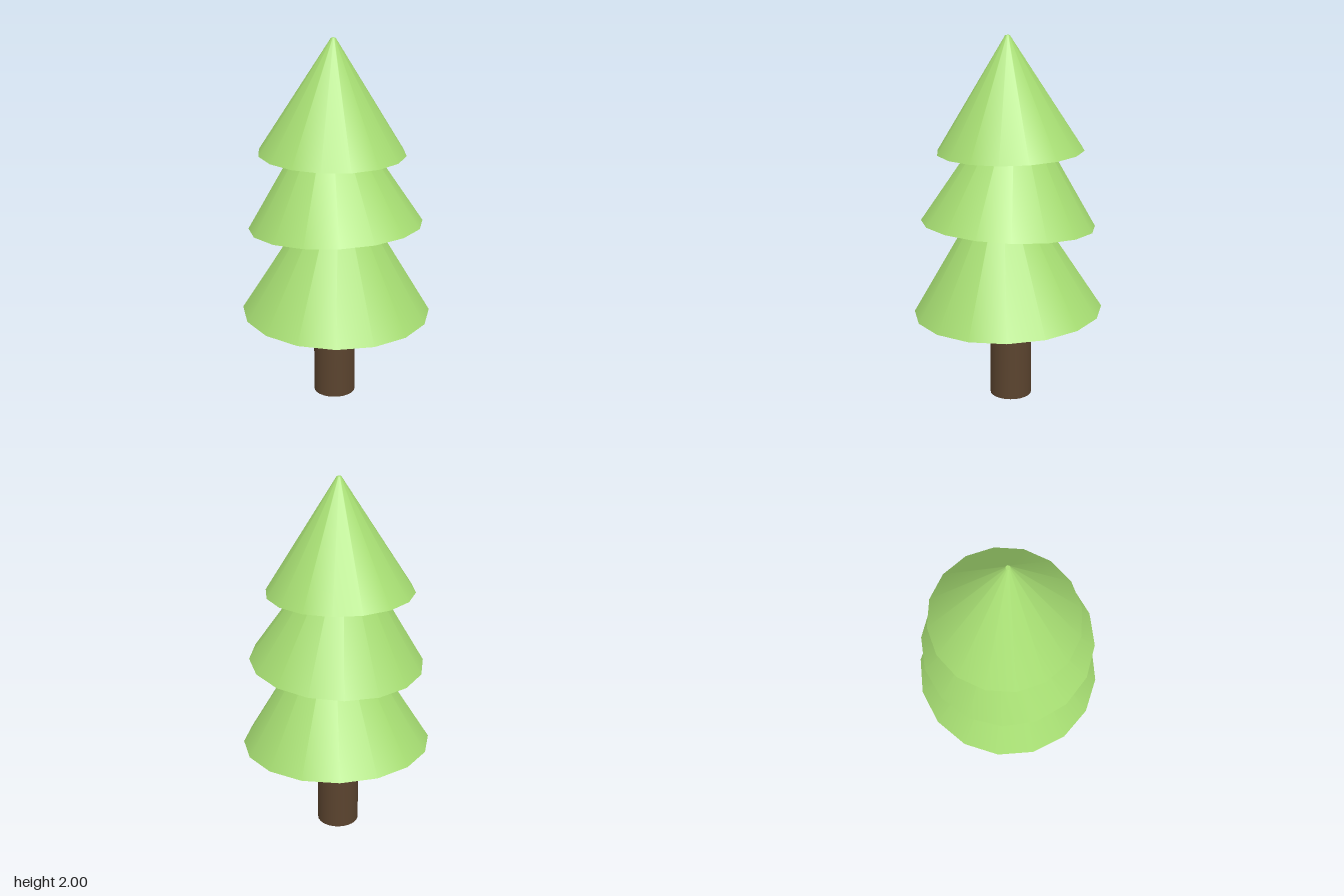
import * as THREE from 'three';

const SIDES = 16;

export function createModel() {
  const tree = new THREE.Group();
  tree.name = 'pineTree';

  const leafGreen = new THREE.MeshStandardMaterial({ color: 0xa6dd72 });
  leafGreen.name = 'leafGreen';
  const barkBrown = new THREE.MeshStandardMaterial({ color: 0x5a432e });
  barkBrown.name = 'barkBrown';

  // Trunk, slightly off centre
  const trunk = new THREE.Mesh(new THREE.CylinderGeometry(0.115, 0.115, 0.54, 24), barkBrown);
  trunk.name = 'trunk';
  trunk.position.set(-0.02, 0.27, -0.005);
  tree.add(trunk);

  // Foliage tiers: each cone pivots on the centre of its base and leans a little
  const tiers = [
    { name: 'lowerFoliage', radius: 0.518, height: 0.82, base: [-0.002, 0.502, 0], lean: [0.013, -0.034], turn: 0.02 },
    { name: 'middleFoliage', radius: 0.474, height: 0.735, base: [-0.005, 0.992, 0], lean: [0, 0.059], turn: 0.065 },
    { name: 'upperFoliage', radius: 0.398, height: 0.61, base: [-0.026, 1.39, 0.006], lean: [0.009, -0.026], turn: -0.12 },
  ];
  for (const { name, radius, height, base, lean, turn } of tiers) {
    const cone = new THREE.CylinderGeometry(0.012, radius, height, SIDES);
    cone.rotateY(turn);
    cone.translate(0, height / 2, 0);
    const tier = new THREE.Mesh(cone, leafGreen);
    tier.name = name;
    tier.position.set(...base);
    tier.rotation.set(lean[0], 0, lean[1]);
    tree.add(tier);
  }

  return tree;
}
